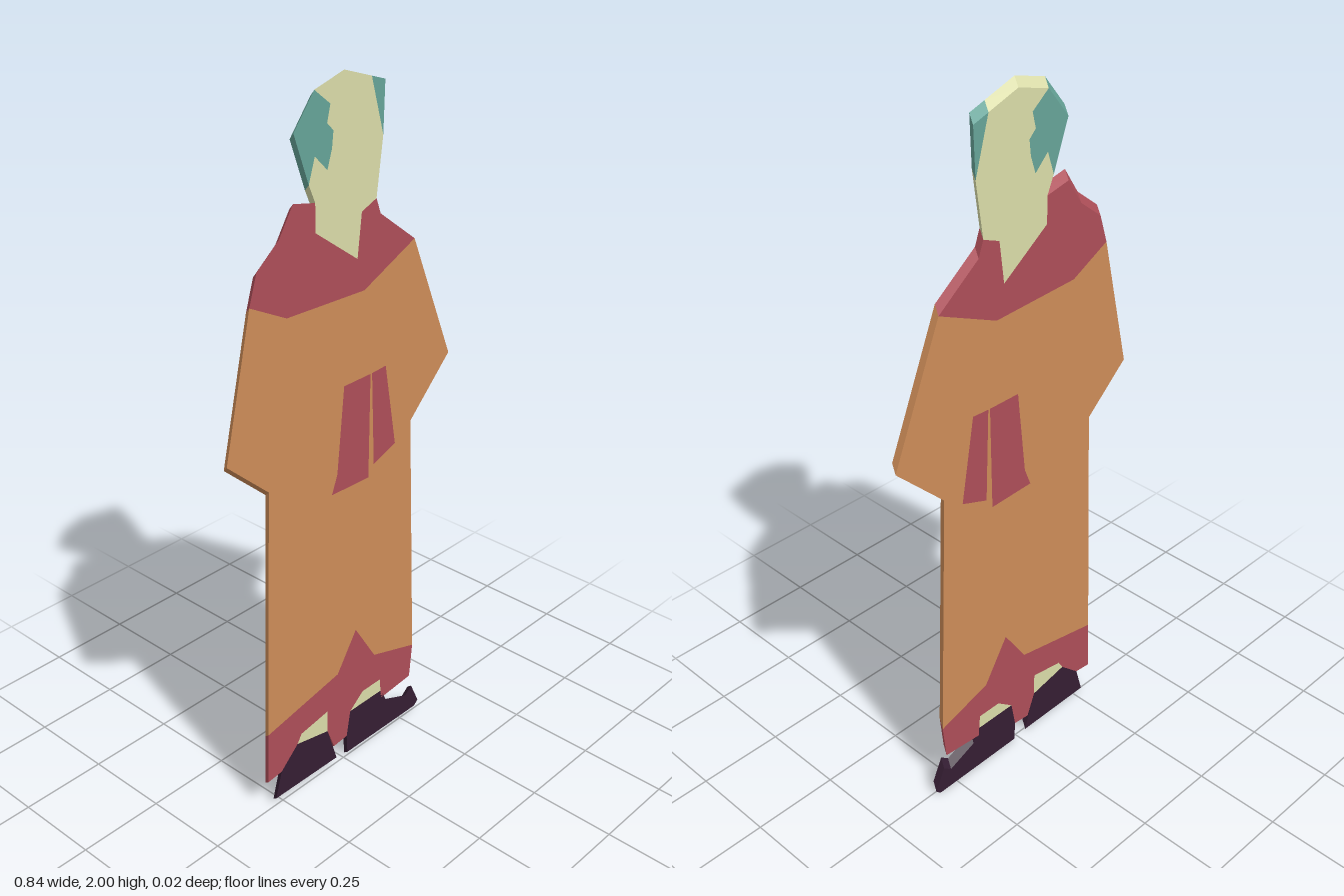
import * as THREE from 'three';

const FRONT = 0.01, DEPTH = 0.022;   // thickness of the flat cut-out
const SLANT_X = 0.01, SLANT_Y = -0.02; // offset of the back face from the front one

const pts = (list) => list.map(([x, y]) => new THREE.Vector2(x, y));

// Extrude an outline (with optional holes), then slant it towards the back
function slab(name, color, outline, holes = []) {
  const shape = new THREE.Shape(pts(outline));
  holes.forEach((h) => shape.holes.push(new THREE.Path(pts(h))));
  const geo = new THREE.ExtrudeGeometry(shape, { depth: DEPTH, bevelEnabled: false });
  geo.translate(0, 0, FRONT - DEPTH);
  const p = geo.attributes.position;
  for (let i = 0; i < p.count; i++) {
    const t = (FRONT - p.getZ(i)) / DEPTH;
    p.setXY(i, p.getX(i) + SLANT_X * t, p.getY(i) + SLANT_Y * t);
  }
  geo.computeVertexNormals();
  const mesh = new THREE.Mesh(geo, new THREE.MeshStandardMaterial({ color, flatShading: true }));
  mesh.name = name;
  return mesh;
}

export function createModel() {
  const ORANGE = 0xcd8c58, RED = 0xad4e58, SKIN = 0xdadca9, TEAL = 0x66a498, DARK = 0x351e33;
  const group = new THREE.Group();
  group.name = 'robedFigure';

  // Boundaries shared by neighbouring parts
  const hairline = [[-0.108, 1.973], [-0.055, 1.931], [-0.066, 1.888], [-0.045, 1.867],
    [-0.05, 1.825], [-0.066, 1.777], [-0.108, 1.819], [-0.129, 1.756]];
  const neckline = [[-0.108, 1.708], [-0.108, 1.634], [0.04, 1.528], [0.055, 1.645], [0.108, 1.666]];
  const collarEdge = [[-0.33, 1.512], [-0.209, 1.449], [0.066, 1.438], [0.256, 1.523]];
  const hemEdge = [[0.288, 0.252], [0.119, 0.305], [0.04, 0.432], [-0.034, 0.32], [-0.309, 0.267]];

  // Head
  group.add(
    slab('face', SKIN, [...hairline, ...neckline, [0.13, 1.819], [0.087, 1.968], [-0.008, 2]]),
    slab('rightHair', TEAL, [...hairline, [-0.177, 1.888]]),
    slab('leftHair', TEAL, [[0.087, 1.968], [0.13, 1.819], [0.135, 1.952]]),
  );

  // Collar
  group.add(slab('collar', RED, [...collarEdge, [0.124, 1.623], ...[...neckline].reverse(),
    [-0.182, 1.724], [-0.23, 1.65], [-0.304, 1.592]]));

  // Robe, with the two sash ends set into it
  const sashes = [
    [[-0.008, 1.2], [0.092, 1.2], [0.087, 0.898], [-0.055, 0.903], [-0.034, 0.956]],
    [[0.098, 1.2], [0.151, 1.203], [0.193, 0.961], [0.108, 0.93]],
  ];
  group.add(slab('robe', ORANGE, [...collarEdge, [0.41, 1.155], [0.256, 1.004], ...hemEdge,
    [-0.283, 1.007], [-0.42, 1.131]], sashes));
  sashes.forEach((s, i) => group.add(slab(i ? 'leftSash' : 'rightSash', RED, s)));

  // Hem band
  group.add(slab('hem', RED, [...hemEdge, [-0.314, 0.109], [-0.262, 0.114], [-0.198, 0.172],
    [-0.182, 0.198], [-0.077, 0.215], [-0.077, 0.146], [-0.05, 0.077], [0.003, 0.082],
    [0.018, 0.162], [0.071, 0.204], [0.145, 0.204], [0.151, 0.135], [0.277, 0.146]]));

  // Ankles and shoes
  group.add(
    slab('rightAnkle', SKIN, [[-0.182, 0.198], [-0.198, 0.172], [-0.077, 0.146], [-0.077, 0.215]]),
    slab('leftAnkle', SKIN, [[0.071, 0.204], [0.018, 0.162], [0.151, 0.162], [0.145, 0.204]]),
    slab('rightShoe', DARK, [[-0.198, 0.172], [-0.262, 0.114], [-0.285, 0.034], [-0.04, 0.03],
      [-0.077, 0.146]]),
    slab('leftShoe', DARK, [[0.018, 0.162], [0.003, 0.082], [0.006, 0.022], [0.304, 0.02],
      [0.32, 0.034], [0.288, 0.103], [0.262, 0.082], [0.172, 0.119], [0.151, 0.162]]),
  );
  return group;
}
